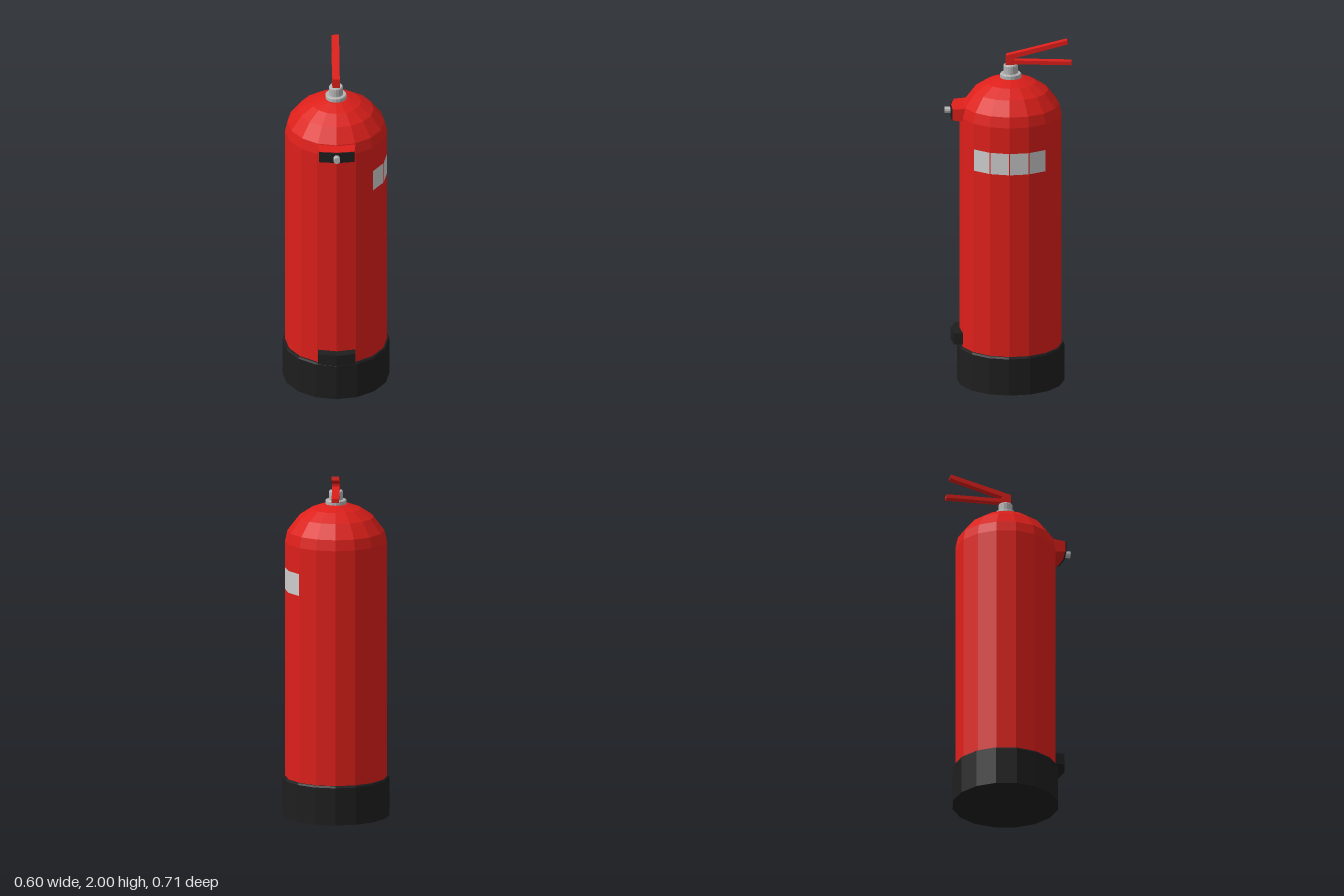
import * as THREE from 'three';

const SIDES = 16;
const AXIS_Z = -0.015; // the tank axis sits slightly behind the centre
const R = 0.285;

const paint = (color) => new THREE.MeshStandardMaterial({ color, flatShading: true, side: THREE.DoubleSide });

export function createModel() {
  const model = new THREE.Group();
  const red = paint(0xdd1f1a);
  const black = paint(0x1e1e1e);
  const metal = paint(0xb4b4b4);
  const white = paint(0xcccccc);

  const add = (name, geometry, material, x = 0, y = 0, z = 0) => {
    const mesh = new THREE.Mesh(geometry, material);
    mesh.name = name;
    mesh.position.set(x, y, z);
    model.add(mesh);
    return mesh;
  };
  const lathe = (name, profile, material) =>
    add(name, new THREE.LatheGeometry(profile.map(([r, y]) => new THREE.Vector2(r, y)), SIDES), material, 0, 0, AXIS_Z);

  // Block bent to the tank's front edge; back and front are [half width, half height, side z, middle z]
  const bentBlock = (name, y, back, front, material) => {
    const geometry = new THREE.BoxGeometry(2, 2, 2, 2, 1, 1);
    const p = geometry.attributes.position;
    for (let i = 0; i < p.count; i++) {
      const [w, h, sideZ, middleZ] = p.getZ(i) > 0 ? front : back;
      const x = p.getX(i);
      p.setXYZ(i, x * w, p.getY(i) * h, Math.abs(x) > 0.5 ? sideZ : middleZ);
    }
    geometry.computeVertexNormals();
    return add(name, geometry, material, 0, y, 0);
  };

  // Tank with domed shoulder, and rubber foot
  lathe('tank', [[0, 0.1], [R, 0.1], [R, 1.565], [0.272, 1.625], [0.211, 1.705], [0.14, 1.752], [0.07, 1.777], [0, 1.78]], red);
  lathe('foot', [[0, 0], [0.3, 0], [0.3, 0.212], [0.294, 0.222], [R - 0.005, 0.222]], black);

  // Valve: flange, neck and cap
  lathe('valve', [[0, 1.76], [0.06, 1.76], [0.06, 1.797], [0.056, 1.802], [0.04, 1.802],
    [0.04, 1.846], [0.036, 1.853], [0, 1.853]], metal);

  // Handle: post, raised squeeze lever and carrying lever in one side profile of (z, y)
  const outline = [[0.012, 1.85], [0.012, 1.908], [-0.33, 2.0], [-0.336, 1.977],
    [-0.037, 1.893], [-0.037, 1.88], [-0.355, 1.876], [-0.355, 1.855], [-0.037, 1.858], [-0.037, 1.85]];
  const profile = new THREE.Shape(outline.map(([z, y]) => new THREE.Vector2(-z, y)));
  const handle = new THREE.ExtrudeGeometry(profile, { depth: 0.042, bevelEnabled: false });
  handle.translate(0, 0, -0.021).rotateY(Math.PI / 2);
  add('handle', handle, red);

  // Nozzle holder with dark face and metal nozzle
  bentBlock('nozzleHolder', 1.582, [0.108, 0.04, 0.215, 0.235], [0.1, 0.032, 0.307, 0.318], red);
  bentBlock('nozzlePlate', 1.58, [0.1, 0.032, 0.305, 0.316], [0.098, 0.031, 0.312, 0.324], black);
  const nozzle = new THREE.CylinderGeometry(0.019, 0.019, 0.05, 12).rotateX(Math.PI / 2);
  add('nozzle', nozzle, metal, 0, 1.58, 0.33);

  // Hose clip just above the foot
  bentBlock('hoseClip', 0.268, [0.105, 0.033, 0.235, 0.256], [0.105, 0.033, 0.3, 0.322], black);

  // Label: one plate on each of four facets on the left side
  const apothem = R * Math.cos(Math.PI / SIDES) + 0.002;
  for (let i = 0; i < 4; i++) {
    const angle = Math.PI / 2 + (i - 1.5) * (2 * Math.PI / SIDES);
    const label = add('label', new THREE.PlaneGeometry(0.106, 0.125), white,
      Math.sin(angle) * apothem, 1.353, AXIS_Z + Math.cos(angle) * apothem);
    label.rotation.y = angle;
  }
  return model;
}
